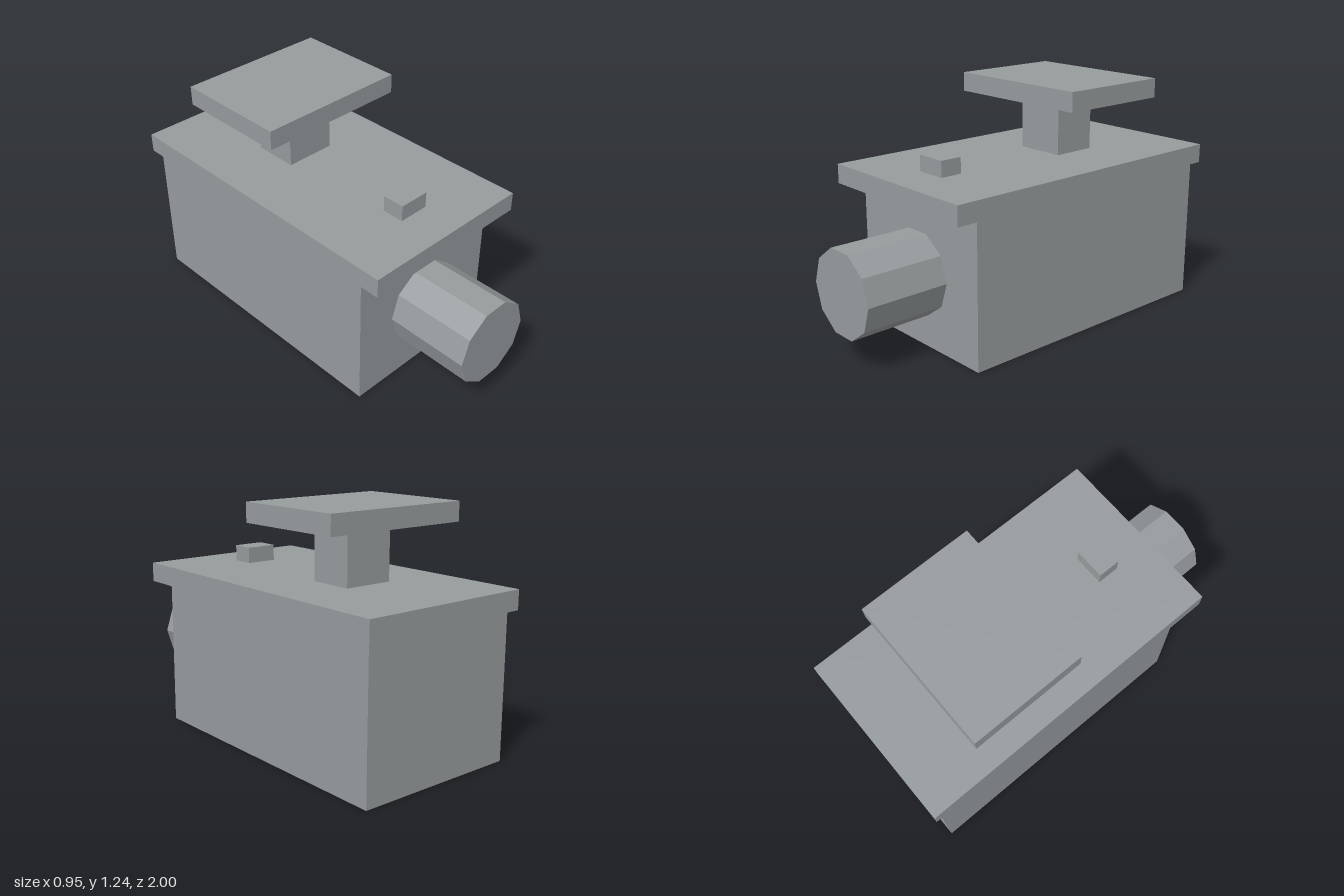
import * as THREE from 'three';

export function createModel() {
  const model = new THREE.Group();
  const grey = new THREE.MeshStandardMaterial({ color: 0x969b9d, flatShading: true });
  grey.name = 'grey';

  function add(name, geometry, x, y, z) {
    const mesh = new THREE.Mesh(geometry, grey);
    mesh.name = name;
    mesh.position.set(x, y, z);
    model.add(mesh);
  }

  // Box given by its extents along each axis
  function box(name, [x0, x1], [y0, y1], [z0, z1]) {
    add(name, new THREE.BoxGeometry(x1 - x0, y1 - y0, z1 - z0),
      (x0 + x1) / 2, (y0 + y1) / 2, (z0 + z1) / 2);
  }

  // Main housing and its overhanging lid
  box('body', [-0.442, 0.442], [0, 0.75], [-0.965, 0.56]);
  box('lid', [-0.475, 0.473], [0.75, 0.85], [-1, 0.695]);

  // Small block near the front of the lid
  box('button', [-0.085, 0.081], [0.85, 0.933], [0.355, 0.473]);

  // Post carrying the flat top plate
  box('post', [-0.138, 0.133], [0.85, 1.137], [-0.487, -0.25]);
  box('topPlate', [-0.407, 0.403], [1.137, 1.237], [-0.678, -0.07]);

  // Ten-sided barrel on the front, with corners at its left and right
  const barrel = new THREE.CylinderGeometry(0.221, 0.22, 0.45, 10, 1, false, Math.PI / 2);
  barrel.rotateX(Math.PI / 2);
  add('barrel', barrel, -0.004, 0.376, 0.775);

  return model;
}
